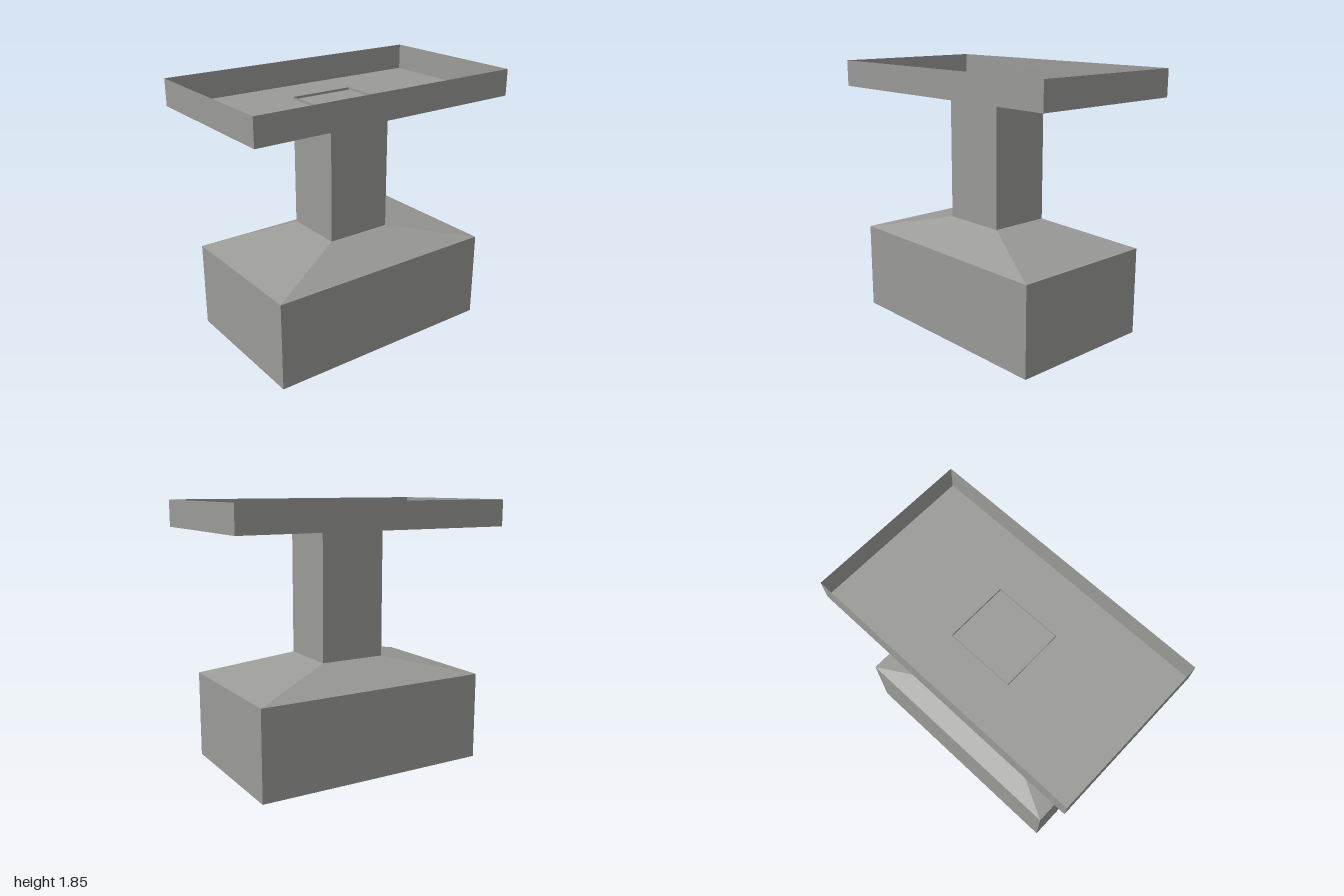
import * as THREE from 'three';

// Open four-sided shell between two rectangles, each given as [halfX, y, halfZ]
function rectShell(lower, upper) {
  const signs = [[1, 1], [1, -1], [-1, -1], [-1, 1]];
  const corner = ([hx, y, hz], i) => [signs[i % 4][0] * hx, y, signs[i % 4][1] * hz];
  const pos = [];
  for (let i = 0; i < 4; i++) {
    const a = corner(lower, i), b = corner(lower, i + 1);
    const c = corner(upper, i + 1), d = corner(upper, i);
    pos.push(...a, ...b, ...c, ...a, ...c, ...d);
  }
  const geo = new THREE.BufferGeometry();
  geo.setAttribute('position', new THREE.Float32BufferAttribute(pos, 3));
  geo.computeVertexNormals();
  return geo;
}

export function createModel() {
  const concrete = new THREE.MeshStandardMaterial({ color: 0x9a9a97, side: THREE.DoubleSide });
  concrete.name = 'concrete grey';

  const model = new THREE.Group();
  model.name = 'pedestal';
  const add = (name, geo) => {
    const mesh = new THREE.Mesh(geo, concrete);
    mesh.name = name;
    model.add(mesh);
    return mesh;
  };

  const base = [0.525, 0.843], column = [0.217, 0.235], tray = [0.563, 1];
  const at = ([hx, hz], y) => [hx, y, hz];

  // Hollow base, open underneath, with a sloped shoulder
  add('baseWalls', rectShell(at(base, 0), at(base, 0.617)));
  add('baseShoulder', rectShell(at(base, 0.617), at(column, 0.762)));

  // Column, whose rim stands slightly above the tray floor
  add('column', rectShell(at(column, 0.762), at(column, 1.677)));

  // Open tray on top
  add('trayWalls', rectShell(at(tray, 1.66), at(tray, 1.845)));
  const floor = add('trayFloor', new THREE.PlaneGeometry(tray[0] * 2, tray[1] * 2).rotateX(-Math.PI / 2));
  floor.position.y = 1.66;

  return model;
}
